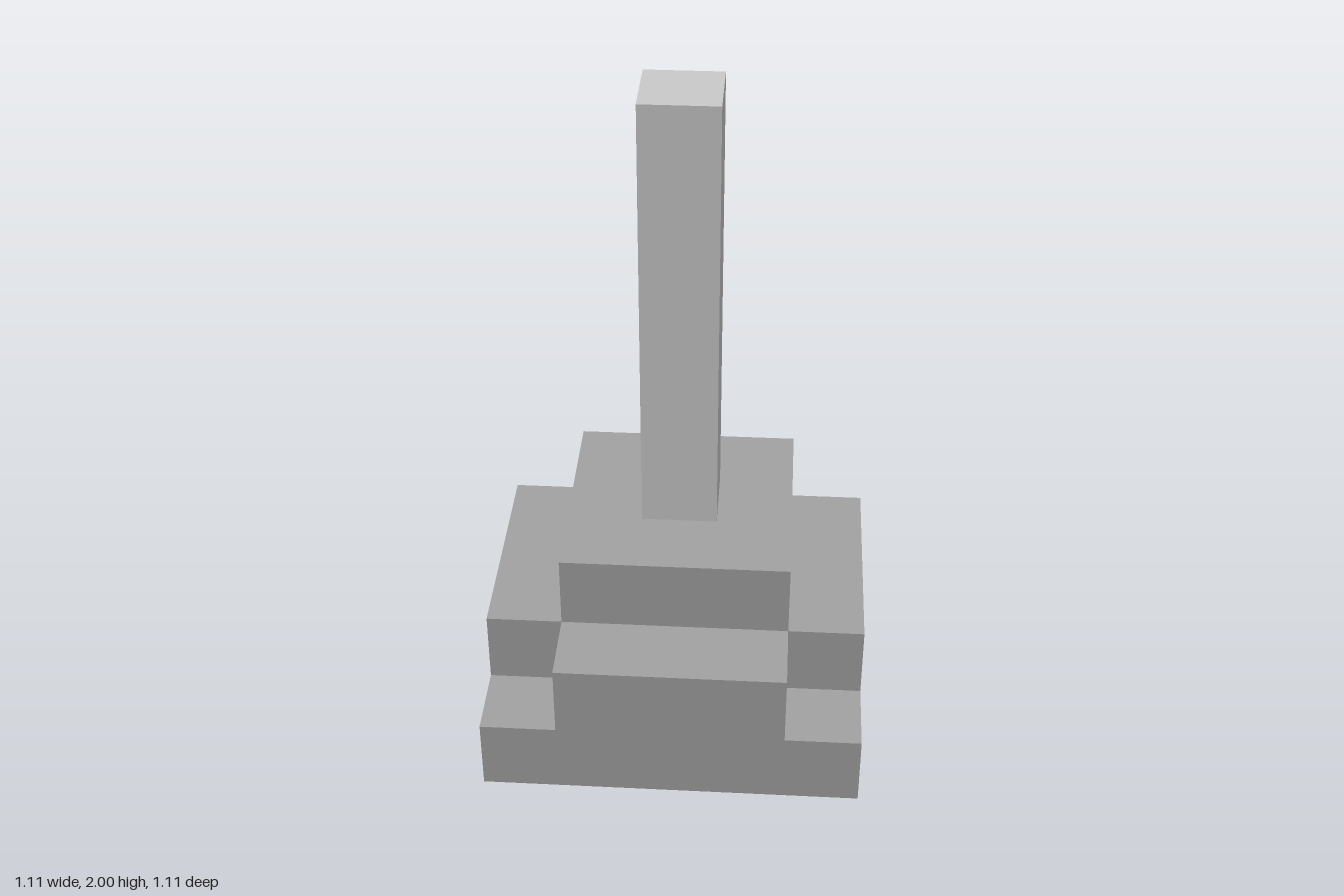
import * as THREE from 'three';

const U = 2 / 18; // the whole model sits on a grid of 18 units in height

export function createModel() {
  const group = new THREE.Group();
  const stone = new THREE.MeshStandardMaterial({ color: 0xa2a2a2 });
  stone.name = 'mid grey stone';
  const pale = new THREE.MeshStandardMaterial({ color: 0xc9c9c9 });
  pale.name = 'pale grey';

  const add = (name, geometry, material, y) => {
    const mesh = new THREE.Mesh(geometry, material);
    mesh.name = name;
    mesh.position.y = y * U;
    group.add(mesh);
  };
  // square block standing on height y, sizes in grid units
  const block = (name, width, height, y, material) =>
    add(name, new THREE.BoxGeometry(width * U, height * U, width * U), material, y + height / 2);

  // square plinth
  block('plinth', 10, 2, 0, stone);

  // cross-shaped step with notched corners
  const a = 3 * U, b = 5 * U;
  const cross = new THREE.Shape([
    [b, -a], [b, a], [a, a], [a, b], [-a, b], [-a, a],
    [-b, a], [-b, -a], [-a, -a], [-a, -b], [a, -b], [a, -a],
  ].map(([x, y]) => new THREE.Vector2(x, y)));
  const step = new THREE.ExtrudeGeometry(cross, { depth: 2 * U, bevelEnabled: false });
  step.rotateX(-Math.PI / 2);
  add('crossStep', step, stone, 2);

  // upper block and post
  block('upperBlock', 6, 2, 4, stone);
  block('post', 2, 12, 6, pale);

  return group;
}
